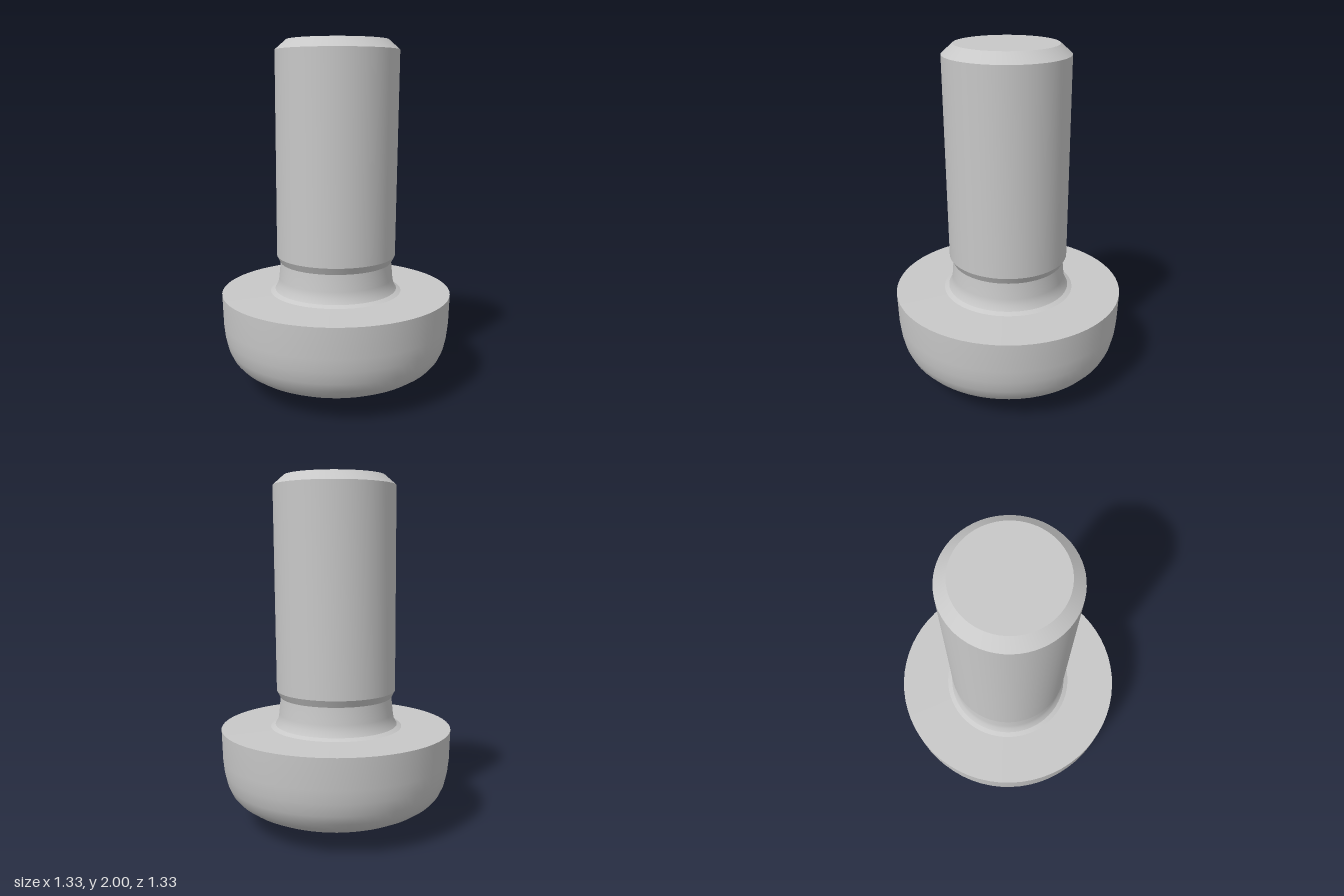
import * as THREE from 'three';
import { toCreasedNormals } from 'three/addons/utils/BufferGeometryUtils.js';

const SIDES = 64;
const RIM = 0.42; // radius where the slotted dome cap meets the turned body
const domeY = r => Math.max(0, 0.47 * r * r - 0.003);

// Cross outline: arm reach, arm half width, chamfer of the inner corners
function crossOutline(reach, half, chamfer) {
  const corners = [], steps = SIDES / 16;
  for (let q = 0; q < 4; q++) {
    const c = Math.cos(q * Math.PI / 2), s = Math.sin(q * Math.PI / 2);
    for (const [x, z] of [[reach, -half], [reach, half], [half + chamfer, half], [half, half + chamfer]])
      corners.push([x * c - z * s, x * s + z * c]);
  }
  const out = [];
  corners.forEach(([x, z], i) => {
    const [nx, nz] = corners[(i + 1) % corners.length];
    for (let k = 0; k < steps; k++) out.push([x + (nx - x) * k / steps, z + (nz - z) * k / steps]);
  });
  return out;
}

// Skin between rings of [x, y, z] points, listed from the middle outwards
function loft(rings, crease) {
  const n = rings[0].length, index = [];
  for (let r = 0; r < rings.length - 1; r++)
    for (let i = 0; i < n; i++) {
      const j = (i + 1) % n, a = r * n + i, b = a + n, c = r * n + n + j, d = r * n + j;
      index.push(a, b, c, a, c, d);
    }
  const g = new THREE.BufferGeometry();
  g.setAttribute('position', new THREE.Float32BufferAttribute(rings.flat(2), 3));
  g.setIndex(index);
  return toCreasedNormals(g, crease);
}

export function createModel() {
  const group = new THREE.Group();
  const steel = new THREE.MeshStandardMaterial({ color: 0xc8c8c8 });
  steel.name = 'grey steel';
  const add = (name, geometry) => {
    const mesh = new THREE.Mesh(geometry, steel);
    mesh.name = name;
    group.add(mesh);
  };
  const turned = pts => toCreasedNormals(
    new THREE.LatheGeometry(pts.map(p => new THREE.Vector2(...p)), SIDES), 0.42);

  // Head: rounded lower edge, straight side, flat seat
  add('head', turned([
    [RIM, domeY(RIM)], [0.48, 0.106], [0.535, 0.134], [0.58, 0.166], [0.612, 0.203],
    [0.636, 0.255], [0.652, 0.325], [0.66, 0.4], [0.665, 0.57], [0.36, 0.572],
  ]));

  // Flared neck, shank and chamfered tip, leaning very slightly forward
  const shank = turned([
    [0.385, 0.57], [0.355, 0.585], [0.338, 0.615], [0.332, 0.65], [0.323, 0.745],
    [0.344, 0.785], [0.347, 1.945], [0.284, 2], [0, 2],
  ]);
  shank.applyMatrix4(new THREE.Matrix4().makeShear(0, 0, 0, 0.009, 0, 0)).translate(0, 0, -0.007);
  add('shank', shank);

  // Dome cap, running from the cross opening out to the head
  const opening = crossOutline(0.3, 0.053, 0.045);
  const capRing = t => opening.map(([x, z], i) => {
    const a = (i - 2) * 2 * Math.PI / SIDES;
    const px = x + (RIM * Math.cos(a) - x) * t, pz = z + (RIM * Math.sin(a) - z) * t;
    return [px, domeY(Math.hypot(px, pz)), pz];
  });
  add('domeCap', loft([0, 0.25, 0.5, 0.75, 1].map(capRing), 0.5));

  // Cross recess tapering to a blunt floor
  const level = (y, ...size) => crossOutline(...size).map(([x, z]) => [x, y, z]);
  add('crossRecess', loft([
    level(0.4, 0, 0, 0),
    level(0.37, 0.12, 0.035, 0.03),
    level(0.2, 0.21, 0.043, 0.038),
    capRing(0),
  ], 0.4));

  return group;
}
